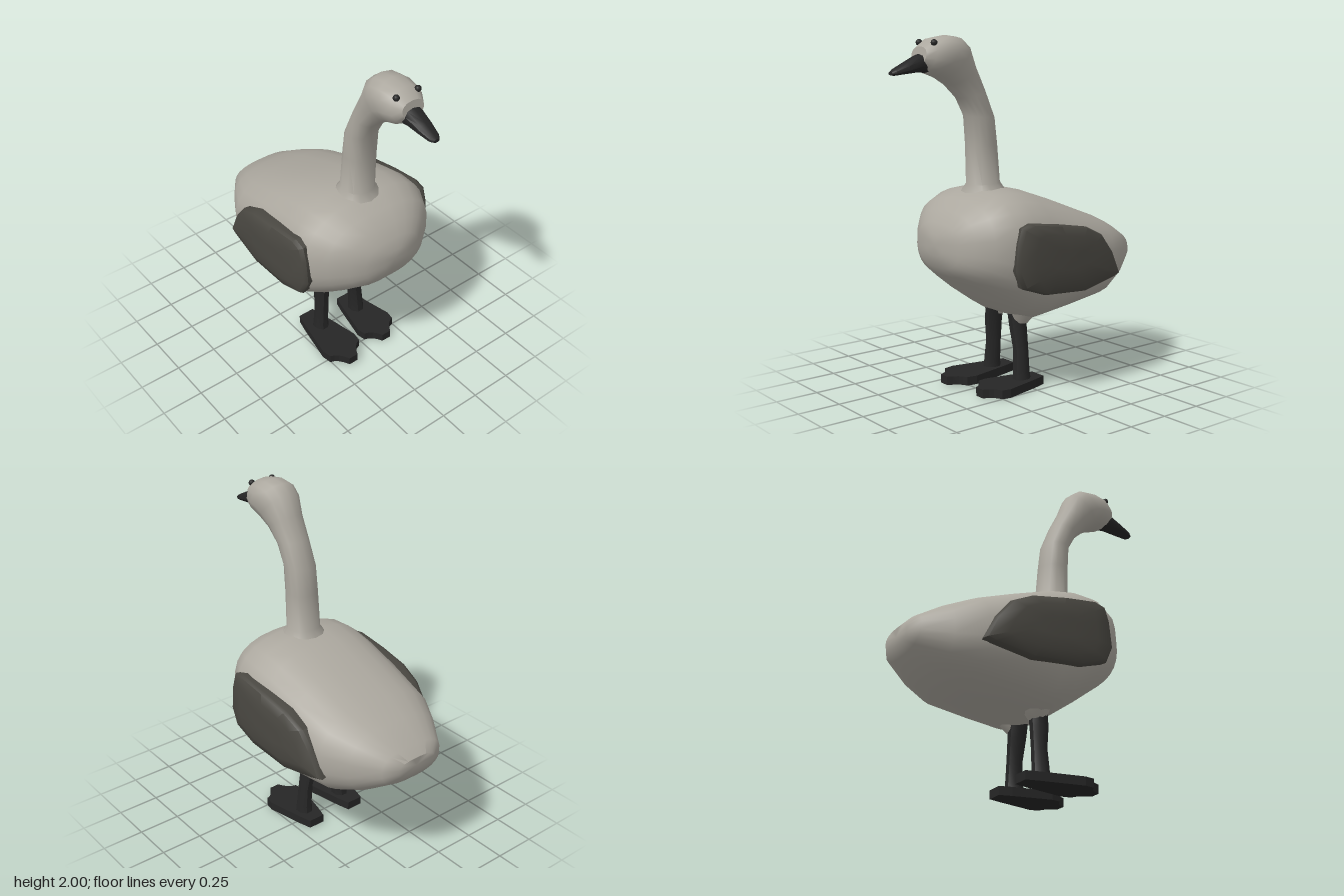
import * as THREE from 'three';
import { toCreasedNormals } from 'three/addons/utils/BufferGeometryUtils.js';

const plumage = new THREE.MeshStandardMaterial({ color: 0xaca89f });
const wingGrey = new THREE.MeshStandardMaterial({ color: 0x4a4842 });
const black = new THREE.MeshStandardMaterial({ color: 0x262626 });

// Skin a list of closed rings (arrays of Vector3) and cap both ends
function skin(rings, crease = 0.8) {
  const n = rings[0].length, last = rings.length - 1;
  const centre = (r) => r.reduce((c, p) => c.add(p), new THREE.Vector3()).divideScalar(n);
  const points = [...rings.flat(), centre(rings[0]), centre(rings[last])];
  const index = [], a = rings.length * n;
  for (let j = 0; j < n; j++) {
    const k = (j + 1) % n;
    for (let i = 0; i < last; i++) {
      const p = i * n + j, q = i * n + k;
      index.push(p, q, p + n, q, q + n, p + n);
    }
    index.push(a, k, j, a + 1, last * n + j, last * n + k);
  }
  const g = new THREE.BufferGeometry().setFromPoints(points);
  g.setIndex(index);
  return toCreasedNormals(g, crease);
}

// Sections: [z, y of the front/lower edge, z, y of the back/upper edge, half width, centre x]
function loft(sections, sides, power = 1) {
  const bend = (v) => Math.sign(v) * Math.abs(v) ** power;
  return skin(sections.map(([az, ay, bz, by, hw, cx = 0]) =>
    Array.from({ length: sides }, (_, j) => {
      const t = ((j + 0.5) / sides) * Math.PI * 2;
      const c = bend(Math.cos(t)), s = bend(Math.sin(t));
      return new THREE.Vector3(cx + hw * c,
        (ay + by) / 2 + ((by - ay) / 2) * s, (az + bz) / 2 + ((bz - az) / 2) * s);
    })));
}

export function createModel() {
  const model = new THREE.Group();
  const add = (name, geometry, material) => {
    const mesh = new THREE.Mesh(geometry, material);
    mesh.name = name;
    model.add(mesh);
    return mesh;
  };

  // Body, from tail to breast
  add('body', loft([
    [-0.785, 0.68, -0.79, 0.78, 0.13],
    [-0.75, 0.63, -0.74, 0.83, 0.21],
    [-0.60, 0.53, -0.60, 0.91, 0.315],
    [-0.45, 0.47, -0.45, 0.975, 0.40],
    [-0.20, 0.43, -0.20, 1.07, 0.425],
    [0.00, 0.40, 0.02, 1.145, 0.435],
    [0.12, 0.44, 0.15, 1.165, 0.44],
    [0.27, 0.545, 0.27, 1.155, 0.425],
    [0.39, 0.635, 0.38, 1.11, 0.36],
    [0.465, 0.69, 0.45, 1.055, 0.27],
    [0.505, 0.74, 0.50, 0.99, 0.19],
    [0.53, 0.81, 0.53, 0.93, 0.08],
  ], 24, 0.75), plumage);

  // Neck and head in one sweep, slightly flared at the base
  add('neckAndHead', loft([
    [0.33, 1.11, 0.05, 1.11, 0.15],
    [0.285, 1.18, 0.10, 1.19, 0.092],
    [0.29, 1.40, 0.12, 1.40, 0.09],
    [0.30, 1.56, 0.14, 1.55, 0.09],
    [0.355, 1.66, 0.20, 1.70, 0.088],
    [0.43, 1.73, 0.265, 1.83, 0.096],
    [0.49, 1.765, 0.31, 1.94, 0.114],
    [0.53, 1.78, 0.37, 1.99, 0.12],
    [0.56, 1.79, 0.45, 2.0, 0.118],
    [0.59, 1.81, 0.54, 1.985, 0.105],
    [0.62, 1.85, 0.605, 1.94, 0.07],
  ], 14, 0.85), plumage);

  // Beak
  add('beak', loft([
    [0.57, 1.80, 0.57, 1.90, 0.06],
    [0.62, 1.805, 0.62, 1.90, 0.058],
    [0.70, 1.797, 0.70, 1.86, 0.048],
    [0.77, 1.79, 0.77, 1.825, 0.034],
    [0.79, 1.793, 0.79, 1.812, 0.018],
  ], 10, 0.85), black);

  // Wing outline as [z, y], running from the top over the front
  const outline = [[0.0, 0.985], [0.2, 1.01], [0.265, 0.99], [0.29, 0.91], [0.305, 0.76],
    [0.26, 0.66], [0.1, 0.605], [-0.2, 0.585], [-0.44, 0.63], [-0.485, 0.645],
    [-0.42, 0.78], [-0.33, 0.89], [-0.2, 0.95]];

  for (const side of [1, -1]) {
    const label = side > 0 ? 'left' : 'right';

    // Domed wing set into the flank, thinning toward its rear tip
    const wing = [[0.37, 0.97], [0.43, 1], [0.45, 0.95], [0.466, 0.7], [0.47, 0.3]]
      .map(([x, scale]) => {
        const ring = outline.map(([z, y]) => {
          const zz = -0.07 + (z + 0.07) * scale;
          return new THREE.Vector3(side * (x - 0.07 * Math.max(0, -zz - 0.1)),
            0.79 + (y - 0.79) * scale, zz);
        });
        return side > 0 ? ring : ring.reverse();
      });
    add(label + 'Wing', skin(wing), wingGrey);

    // Feathered thigh, just behind the top of the leg
    add(label + 'Thigh', loft([
      [0.05, 0.375, -0.03, 0.375, 0.04, side * 0.118],
      [0.07, 0.41, -0.06, 0.41, 0.06, side * 0.125],
      [0.11, 0.50, -0.12, 0.50, 0.10, side * 0.13],
    ], 10), plumage);

    // Slightly bowed leg
    const hip = side > 0 ? 0.09 : -0.113;
    add(label + 'Leg', loft([
      [0.085, 0.03, -0.035, 0.03, 0.05, side * 0.138],
      [0.075, 0.09, -0.026, 0.09, 0.045, side * 0.137],
      [0.067, 0.22, -0.024, 0.22, 0.043, side * 0.127],
      [0.075, 0.34, -0.032, 0.34, 0.046, hip + side * 0.014],
      [0.08, 0.44, -0.034, 0.44, 0.05, hip],
    ], 8), black);

    // Webbed foot with shallow scallops between the toes
    const web = new THREE.Shape();
    web.moveTo(-0.05, 0.11);
    web.lineTo(-0.07, 0.03);
    web.lineTo(-0.12, -0.22);
    web.lineTo(-0.11, -0.28);
    web.quadraticCurveTo(-0.06, -0.29, -0.03, -0.365);
    web.lineTo(0.03, -0.365);
    web.quadraticCurveTo(0.06, -0.29, 0.11, -0.28);
    web.lineTo(0.12, -0.22);
    web.lineTo(0.07, 0.03);
    web.lineTo(0.05, 0.11);
    const footGeo = new THREE.ExtrudeGeometry(web,
      { depth: 0.05, bevelEnabled: false, curveSegments: 4 });
    footGeo.rotateX(-Math.PI / 2);
    const foot = add(label + 'Foot', footGeo, black);
    foot.position.set(side > 0 ? 0.138 : -0.15, side > 0 ? 0 : 0.01, 0);
    foot.scale.z = side > 0 ? 0.9 : 1;

    // Eye
    const eye = add(label + 'Eye', new THREE.SphereGeometry(0.018, 12, 8), black);
    eye.position.set(side * 0.07, 1.96, 0.563);
  }
  return model;
}
